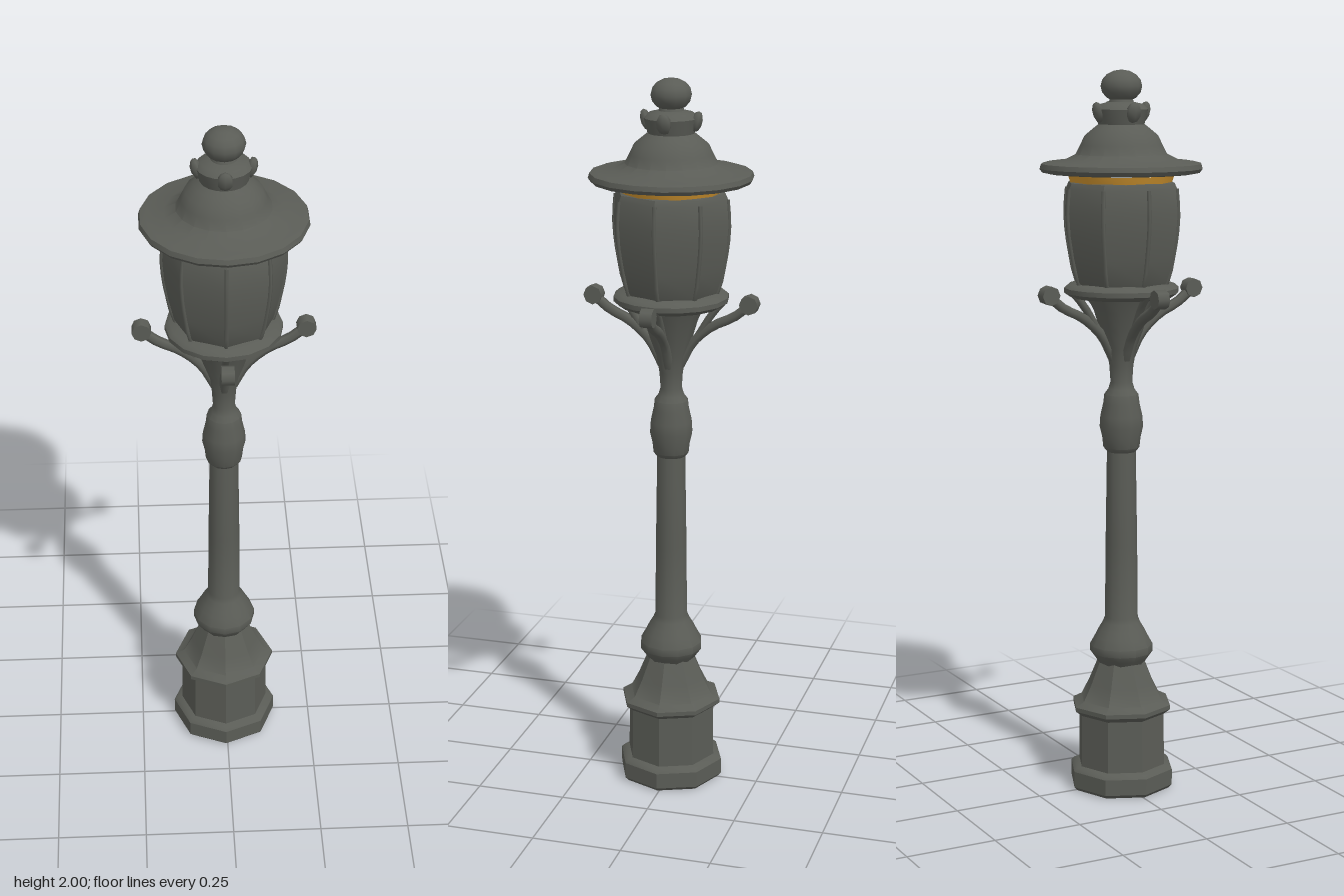
import * as THREE from 'three';
import { toCreasedNormals } from 'three/addons/utils/BufferGeometryUtils.js';

const iron = new THREE.MeshStandardMaterial({ color: 0x5a5c56 });
iron.name = 'dark iron';
const amber = new THREE.MeshStandardMaterial({ color: 0xd0942f });
amber.name = 'amber glow';

function add(parent, name, geometry, material = iron) {
  const mesh = new THREE.Mesh(geometry, material);
  mesh.name = name;
  parent.add(mesh);
  return mesh;
}

// Turned part from [radius, height] pairs, listed bottom to top
function turned(profile, sides) {
  const points = profile.map(([r, y]) => new THREE.Vector2(r, y));
  return toCreasedNormals(new THREE.LatheGeometry(points, sides), 0.65);
}

export function createModel() {
  const lamp = new THREE.Group();
  lamp.name = 'streetLamp';
  const body = new THREE.Group();
  body.name = 'lampBody';
  body.position.set(-0.005, 0, 0.005);
  lamp.add(body);

  // Octagonal plinth with a small recess underneath
  add(body, 'plinth', turned([
    [0, 0.02], [0.035, 0.02], [0.045, 0], [0.14, 0], [0.149, 0.01], [0.149, 0.055],
    [0.14, 0.063], [0.126, 0.068], [0.124, 0.215], [0.143, 0.23], [0.143, 0.242],
    [0.118, 0.255], [0.095, 0.3], [0.07, 0.36], [0.06, 0.38],
  ], 8));

  // Collar, shaft, knuckle and neck
  add(body, 'column', turned([
    [0.06, 0.35], [0.075, 0.372], [0.088, 0.39], [0.088, 0.41], [0.074, 0.435],
    [0.064, 0.455], [0.052, 0.475], [0.046, 0.49], [0.044, 0.7], [0.04, 0.96],
    [0.05, 0.972], [0.053, 1.0], [0.06, 1.03], [0.058, 1.06], [0.05, 1.095],
    [0.047, 1.12], [0.036, 1.135], [0.03, 1.155], [0.033, 1.2], [0.042, 1.25],
    [0.06, 1.3], [0.075, 1.35], [0.095, 1.392], [0, 1.40],
  ], 12));

  // Gallery ring around the foot of the lantern
  add(body, 'galleryRing', turned([
    [0.08, 1.385], [0.14, 1.39], [0.157, 1.402], [0.157, 1.415], [0.145, 1.425], [0.1, 1.43],
  ], 16));

  // Faceted lantern with corner ribs
  const lanternProfile = [
    [0.11, 1.40], [0.133, 1.435], [0.148, 1.5], [0.158, 1.56], [0.162, 1.62], [0.157, 1.685],
  ];
  add(body, 'lantern', turned([...lanternProfile, [0.15, 1.7], [0.12, 1.705]], 8));
  const ribCurve = new THREE.CatmullRomCurve3(
    lanternProfile.map(([r, y]) => new THREE.Vector3(r - 0.001, y, 0)));
  for (let i = 0; i < 8; i++) {
    const rib = add(body, 'lanternRib', new THREE.TubeGeometry(ribCurve, 8, 0.006, 5));
    rib.rotation.y = i * Math.PI / 4;
  }

  // Glowing band under the roof, spreading over the underside of the brim
  add(body, 'glowBand', turned([[0.138, 1.70], [0.145, 1.72]], 16), amber);
  const glow = add(body, 'glowUnderside', new THREE.RingGeometry(0.13, 0.2, 18), amber);
  glow.rotation.x = Math.PI / 2;
  glow.position.y = 1.721;

  // Roof with a wide brim, dome and crown
  add(body, 'roof', turned([
    [0.13, 1.724], [0.2, 1.724], [0.215, 1.727], [0.222, 1.737], [0.218, 1.75],
    [0.2, 1.755], [0.155, 1.76], [0.125, 1.775], [0.112, 1.8], [0.1, 1.825],
    [0.078, 1.843], [0.063, 1.855], [0.068, 1.875], [0.073, 1.895], [0.06, 1.908],
    [0.034, 1.914], [0.028, 1.93],
  ], 18));

  // Ball finial
  const ball = add(body, 'finialBall', new THREE.SphereGeometry(0.056, 12, 8));
  ball.scale.y = 0.78;
  ball.position.y = 1.956;

  // Four crown leaves and four scrolled arms
  const armCurve = new THREE.CatmullRomCurve3([
    [0.025, 1.22], [0.06, 1.285], [0.115, 1.335], [0.175, 1.365], [0.207, 1.39], [0.225, 1.403],
  ].map(([x, y]) => new THREE.Vector3(x, y, 0)));
  const braceCurve = new THREE.CatmullRomCurve3([
    [0.06, 1.28], [0.09, 1.33], [0.115, 1.37], [0.145, 1.405],
  ].map(([x, y]) => new THREE.Vector3(x, y, 0)));
  for (let i = 0; i < 4; i++) {
    const side = new THREE.Group();
    side.name = 'armSet';
    side.rotation.y = i * Math.PI / 2;
    body.add(side);
    add(side, 'arm', new THREE.TubeGeometry(armCurve, 10, 0.014, 6));
    add(side, 'armBrace', new THREE.TubeGeometry(braceCurve, 5, 0.011, 6));
    const knob = add(side, 'armKnob', new THREE.CylinderGeometry(0.026, 0.026, 0.034, 8));
    knob.rotation.x = Math.PI / 2;
    knob.position.set(0.219, 1.403, 0);
    const leaf = add(side, 'crownLeaf', new THREE.SphereGeometry(0.022, 6, 5));
    leaf.scale.set(0.7, 1.3, 1);
    leaf.position.set(0.07, 1.887, 0);
    leaf.rotation.z = -0.25;
  }
  return lamp;
}
